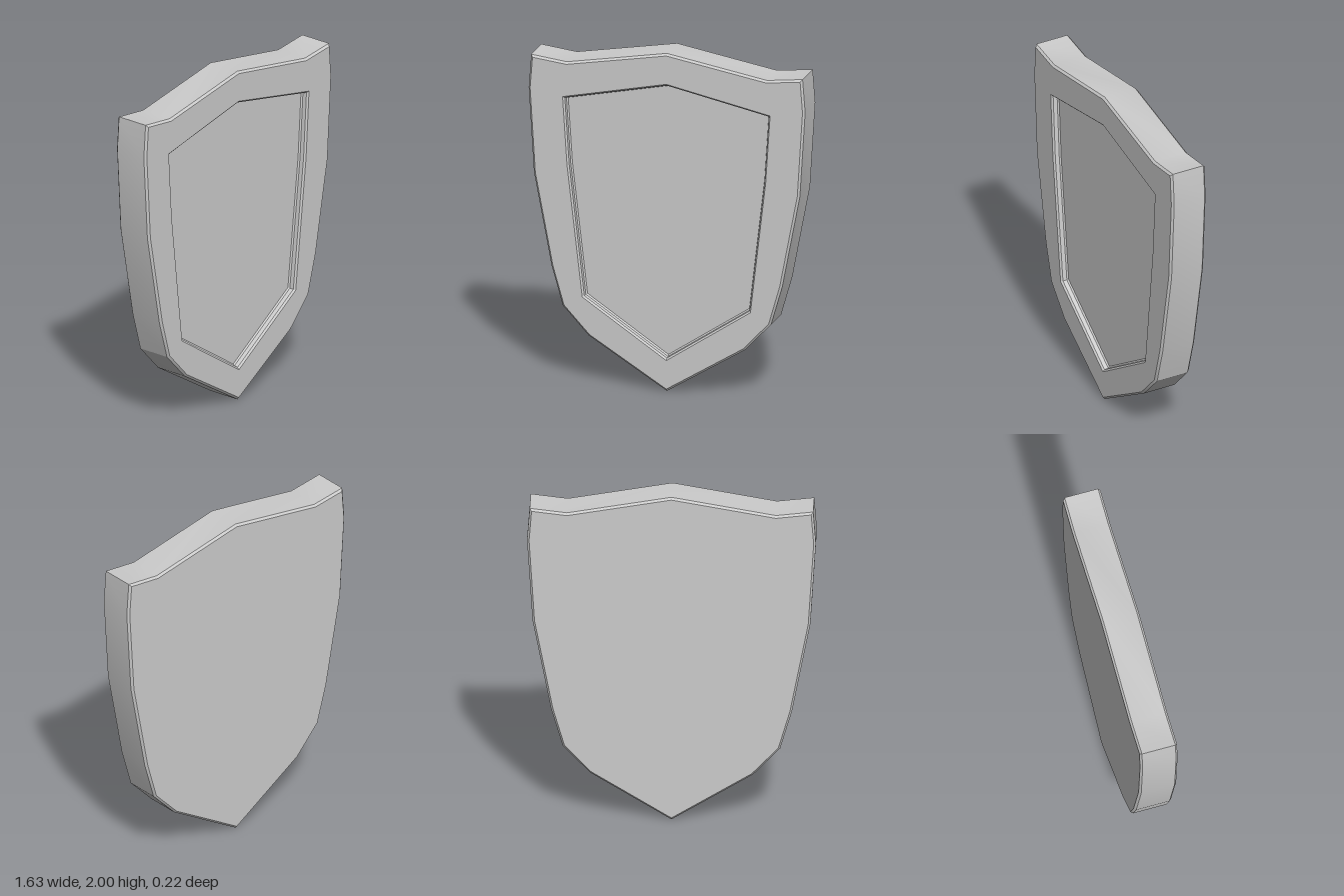
import * as THREE from 'three';
import { toCreasedNormals } from 'three/addons/utils/BufferGeometryUtils.js';

// Half outlines from top centre to bottom tip
const OUTER = [[0, 2], [0.59, 1.895], [0.8, 1.92], [0.815, 1.725], [0.784, 1.225],
  [0.68, 0.68], [0.614, 0.45], [0.46, 0.285], [0, 0]];
const RECESS = [[0, 1.82], [0.612, 1.69], [0.586, 1.29], [0.496, 0.513], [0, 0.183]];

const HALF_DEPTH = 0.11, BEVEL = 0.012, FLOOR_Z = 0.068;

// Mirror a half outline into a full counter-clockwise loop
function fullLoop(half) {
  const left = half.map(([x, y]) => new THREE.Vector2(-x, y));
  const right = half.slice(1, -1).reverse().map(([x, y]) => new THREE.Vector2(x, y));
  return [...left, ...right];
}

// Move every edge of a loop inwards by d, with mitred corners
function inset(loop, d) {
  const n = loop.length;
  const normal = (a, b) => new THREE.Vector2(a.y - b.y, b.x - a.x).normalize();
  return loop.map((p, i) => {
    const n1 = normal(loop[(i + n - 1) % n], p);
    const n2 = normal(p, loop[(i + 1) % n]);
    return n1.clone().add(n2).multiplyScalar(d / (1 + n1.dot(n2))).add(p);
  });
}

// Walls joining successive [inset, z] rings of a loop
function loftWalls(loop, steps) {
  const n = loop.length, positions = [], index = [];
  steps.forEach(([d, z], r) => {
    inset(loop, d).forEach((p) => positions.push(p.x, p.y, z));
    if (r === 0) return;
    for (let j = 0; j < n; j++) {
      const a = (r - 1) * n + j, b = (r - 1) * n + (j + 1) % n;
      index.push(a, b, b + n, a, b + n, a + n);
    }
  });
  const g = new THREE.BufferGeometry();
  g.setAttribute('position', new THREE.Float32BufferAttribute(positions, 3));
  g.setIndex(index);
  return toCreasedNormals(g, THREE.MathUtils.degToRad(25));
}

export function createModel() {
  const group = new THREE.Group();
  group.name = 'shield';
  const material = new THREE.MeshStandardMaterial({ color: 0xcccccc });
  const add = (name, geometry) => {
    const mesh = new THREE.Mesh(geometry, material);
    mesh.name = name;
    group.add(mesh);
    return mesh;
  };
  const outer = fullLoop(OUTER), recess = fullLoop(RECESS);
  const faceLoop = inset(outer, BEVEL);

  // Outer edge with a small bevel front and back
  add('outerEdge', loftWalls(outer, [
    [BEVEL, -HALF_DEPTH], [0, -HALF_DEPTH + BEVEL], [0, HALF_DEPTH - BEVEL], [BEVEL, HALF_DEPTH],
  ]));

  // Front rim around the recess
  const rim = new THREE.Shape(faceLoop);
  rim.holes.push(new THREE.Path(recess));
  add('frontRim', new THREE.ShapeGeometry(rim)).position.z = HALF_DEPTH;

  // Bevelled wall stepping down to the recessed panel
  add('recessWall', loftWalls(recess, [
    [0, HALF_DEPTH], [0.01, HALF_DEPTH - 0.01], [0.012, FLOOR_Z + 0.008], [0.02, FLOOR_Z],
  ]));
  add('recessedPanel', new THREE.ShapeGeometry(new THREE.Shape(inset(recess, 0.02)))).position.z = FLOOR_Z;

  // Flat back
  const back = new THREE.ShapeGeometry(new THREE.Shape(faceLoop)).rotateY(Math.PI);
  add('backPanel', back).position.z = -HALF_DEPTH;

  return group;
}
